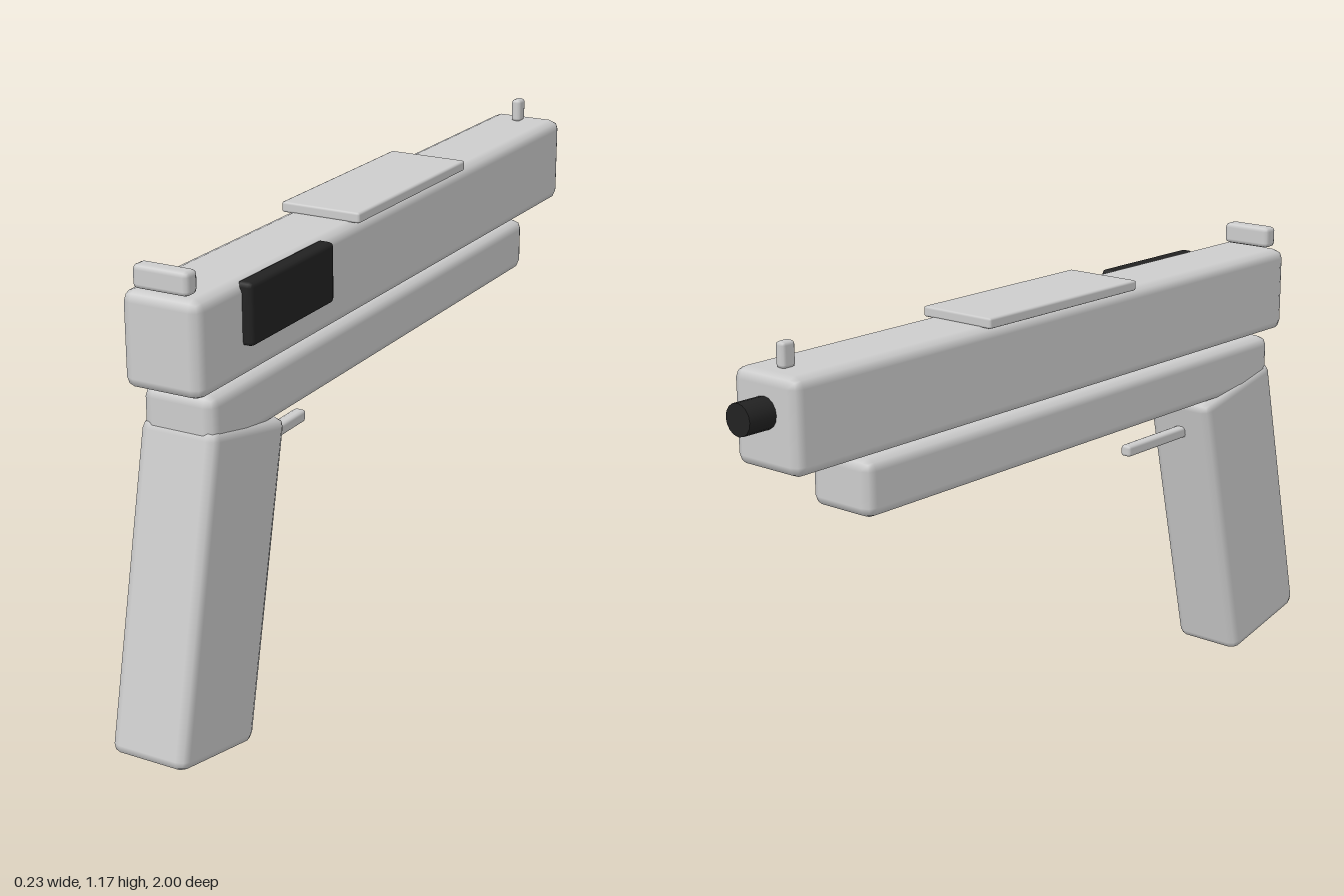
import * as THREE from 'three';
import { RoundedBoxGeometry } from 'three/addons/geometries/RoundedBoxGeometry.js';

export function createModel() {
  const model = new THREE.Group();
  model.name = 'toyPistol';

  const grey = new THREE.MeshStandardMaterial({ color: 0xcccccc });
  grey.name = 'light grey';
  const black = new THREE.MeshStandardMaterial({ color: 0x222222 });
  black.name = 'black';

  // Bevelled block given by its extents along each axis
  function block(name, [x0, x1], [y0, y1], [z0, z1], bevel, material = grey) {
    const geometry = new RoundedBoxGeometry(x1 - x0, y1 - y0, z1 - z0, 1, bevel);
    const mesh = new THREE.Mesh(geometry, material);
    mesh.name = name;
    mesh.position.set((x0 + x1) / 2, (y0 + y1) / 2, (z0 + z1) / 2);
    model.add(mesh);
    return mesh;
  }

  // Main body
  block('slide', [-0.108, 0.088], [0.893, 1.114], [-0.925, 0.892], 0.026);
  block('frame', [-0.102, 0.081], [0.748, 0.884], [-0.712, 0.836], 0.026);

  // Raked grip, its foot swung to the rear
  const grip = block('grip', [-0.108, 0.088], [0.023, 0.787], [0.622, 0.924], 0.024);
  grip.rotation.x = -0.22;

  // Trigger bar
  block('trigger', [-0.026, 0.004], [0.641, 0.671], [0.32, 0.62], 0.008);

  // Top plate and sights
  block('topPlate', [-0.114, 0.094], [1.111, 1.137], [-0.32, 0.225], 0.006);
  block('rearSight', [-0.08, 0.059], [1.117, 1.172], [0.84, 0.884], 0.012);
  block('frontSight', [-0.026, 0.001], [1.112, 1.172], [-0.878, -0.84], 0.009);

  // Side port
  block('ejectionPort', [0.07, 0.112], [0.968, 1.111], [0.368, 0.722], 0.011, black);

  // Muzzle end of the barrel
  const barrel = new THREE.Mesh(new THREE.CylinderGeometry(0.037, 0.037, 0.2, 16), black);
  barrel.name = 'barrel';
  barrel.rotation.x = Math.PI / 2;
  barrel.position.set(-0.012, 1.027, -0.9);
  model.add(barrel);

  return model;
}
